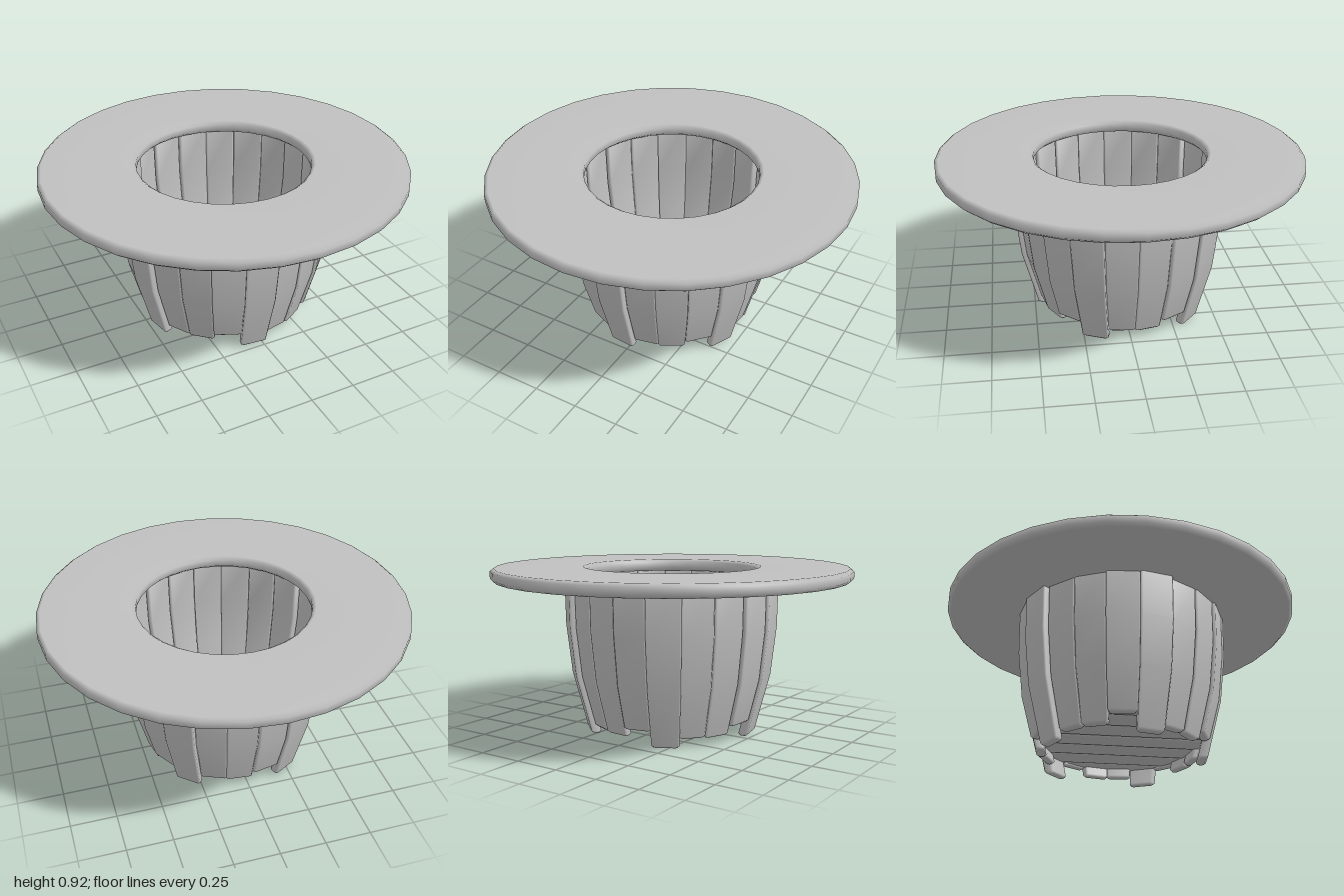
import * as THREE from 'three';

// Closed solid through a row of equal rings, each counter-clockwise seen from the far end
function loft(rings) {
  const n = rings[0].length, index = [];
  for (let i = 0; i < rings.length - 1; i++) {
    for (let j = 0; j < n; j++) {
      const a = i * n + j, b = i * n + (j + 1) % n;
      index.push(a, b, b + n, a, b + n, a + n);
    }
  }
  const last = (rings.length - 1) * n;
  for (let j = 1; j < n - 1; j++) {
    index.push(0, j + 1, j);
    index.push(last, last + j, last + j + 1);
  }
  const geo = new THREE.BufferGeometry();
  geo.setAttribute('position', new THREE.Float32BufferAttribute(rings.flat(2), 3));
  geo.setIndex(index);
  geo.computeVertexNormals();
  return geo;
}

// Rectangle with chamfered corners, counter-clockwise, as [x, y] pairs
function chamfered(x0, x1, y0, y1, c) {
  return [
    [x0 + c, y0], [x1 - c, y0], [x1, y0 + c], [x1, y1 - c],
    [x1 - c, y1], [x0 + c, y1], [x0, y1 - c], [x0, y0 + c],
  ];
}

const STAVES = 20;
const HALF = Math.tan(Math.PI / STAVES);

// Outer radius of the tub wall at height y
const wall = [[0, 0.445], [0.04, 0.455], [0.33, 0.53], [0.6, 0.56], [0.88, 0.565]];
function wallRadius(y) {
  for (let i = 1; i < wall.length; i++) {
    const [y0, r0] = wall[i - 1], [y1, r1] = wall[i];
    if (y <= y1) return r0 + (r1 - r0) * (y - y0) / (y1 - y0);
  }
  return wall[wall.length - 1][1];
}

// One wedge-shaped stave with a rounded lower end
function staveGeometry(bottom, offset) {
  const levels = [[bottom, 0.01], [bottom + 0.012, 0], [0.33, 0], [0.6, 0], [0.87, 0]];
  const rings = levels.map(([y, inset]) => {
    const r = wallRadius(y) + offset;
    const w = HALF * r - inset;
    return chamfered(-w, w, r - 0.055 + inset, r - inset, 0.01)
      .map(([u, d]) => [-u * (d / r), y, d]);
  });
  return loft(rings);
}

export function createModel() {
  const model = new THREE.Group();
  const grey = new THREE.MeshStandardMaterial({ color: 0xc0c0c0 });
  grey.name = 'plain grey';

  function add(parent, name, geometry) {
    const mesh = new THREE.Mesh(geometry, grey);
    mesh.name = name;
    parent.add(mesh);
    return mesh;
  }

  // Wide flat brim with rounded edges
  const brimProfile = [
    [0.495, 0.85], [0.98, 0.85], [1, 0.867], [1, 0.905], [0.98, 0.92],
    [0.495, 0.92], [0.475, 0.905], [0.475, 0.867], [0.495, 0.85],
  ].map(([r, y]) => new THREE.Vector2(r, y));
  add(model, 'brim', new THREE.LatheGeometry(brimProfile, 32));

  // Staves: every fourth one reaches the ground as a foot
  const staves = new THREE.Group();
  staves.name = 'staves';
  model.add(staves);
  const kinds = [[0, 0.028], [0.045, 0], [0.042, 0.004], [0.09, 0.018]];
  const geometries = kinds.map(([bottom, offset]) => staveGeometry(bottom, offset));
  for (let k = 0; k < STAVES; k++) {
    const name = k % 4 === 0 ? 'footStave' : 'stave';
    const stave = add(staves, name, geometries[k % 4]);
    stave.rotation.y = -0.105 + k * 2 * Math.PI / STAVES;
  }

  // Floor planks running front to back, trimmed to the round wall
  const floor = new THREE.Group();
  floor.name = 'floor';
  model.add(floor);
  const edges = [-0.45, -0.398, -0.25, -0.102, 0.046, 0.194, 0.342, 0.45];
  for (let i = 0; i < edges.length - 1; i++) {
    const gap = i === 3 ? 0.01 : 0;
    const section = chamfered(edges[i] + gap, edges[i + 1], 0.1, 0.145, 0.01);
    const rings = [-1, 1].map((side) => section.map(([x, y]) =>
      [x, y, side * Math.sqrt(Math.max(0.0004, 0.46 * 0.46 - x * x))]));
    add(floor, 'floorPlank', loft(rings));
  }

  return model;
}
